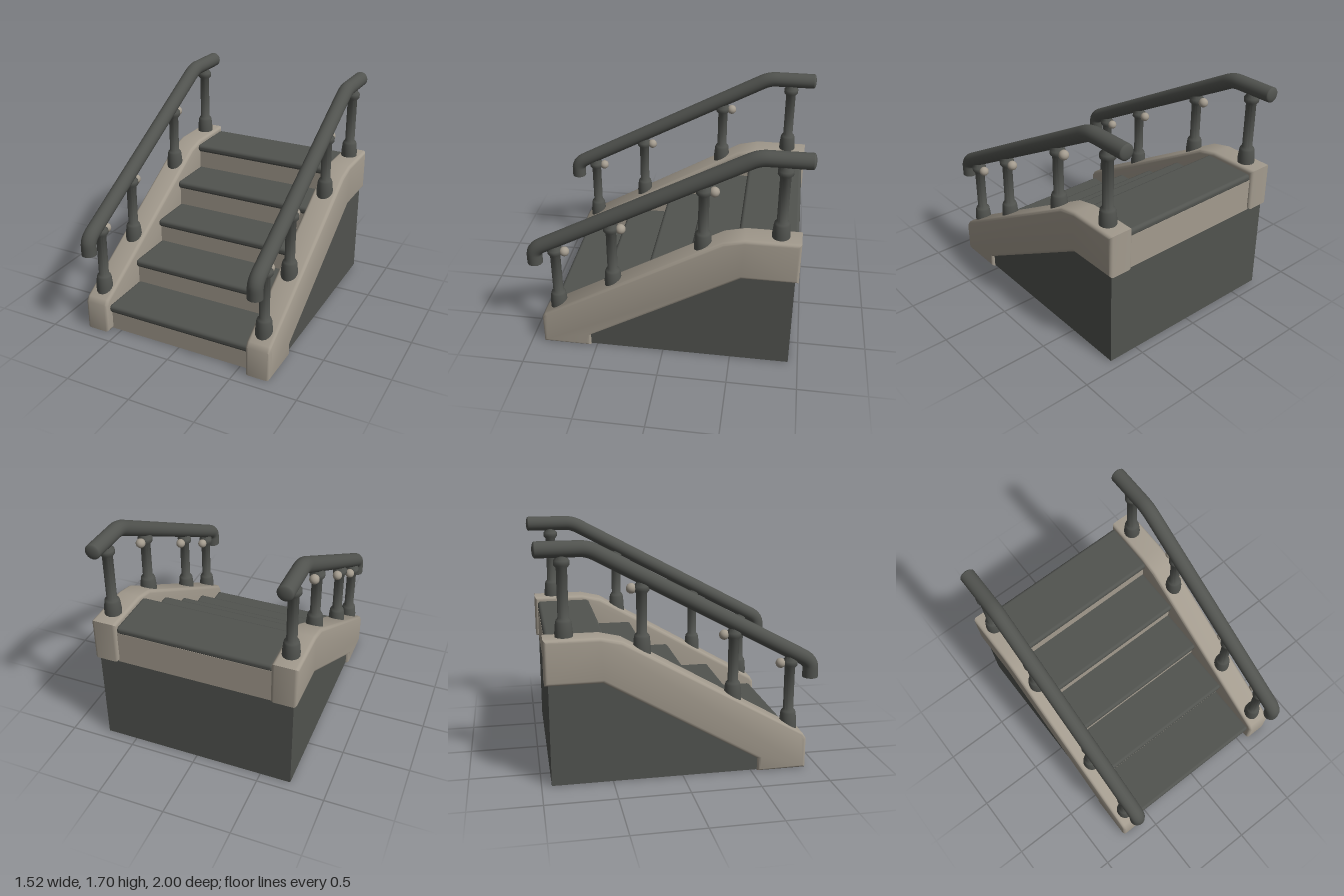
import * as THREE from 'three';
import { RoundedBoxGeometry } from 'three/addons/geometries/RoundedBoxGeometry.js';
import { toCreasedNormals } from 'three/addons/utils/BufferGeometryUtils.js';

const V = (z, y) => new THREE.Vector3(0, y, z);

// Extrude a side profile of [z, y] points across x, from xMin to xMax
function sideExtrude(points, xMin, xMax, bevel = 0) {
  const shape = new THREE.Shape(points.map(([z, y]) => new THREE.Vector2(z, y)));
  const geo = new THREE.ExtrudeGeometry(shape, {
    depth: xMax - xMin - 2 * bevel, bevelEnabled: bevel > 0,
    bevelSize: bevel, bevelThickness: bevel, bevelOffset: -bevel, bevelSegments: 4,
  });
  geo.rotateY(-Math.PI / 2);
  geo.translate(xMax - bevel, 0, 0);
  return toCreasedNormals(geo, 0.6);
}

export function createModel() {
  const stone = new THREE.MeshStandardMaterial({ color: 0xa39b8e });
  stone.name = 'warm stone';
  const dark = new THREE.MeshStandardMaterial({ color: 0x51534f });
  dark.name = 'dark grey';

  const model = new THREE.Group();
  model.name = 'staircase';
  const add = (parent, name, geo, mat, x = 0, y = 0, z = 0) => {
    const mesh = new THREE.Mesh(geo, mat);
    mesh.name = name;
    mesh.position.set(x, y, z);
    parent.add(mesh);
    return mesh;
  };

  // Treads and the risers beneath their nosings
  const noses = [0.87, 0.49, 0.14, -0.18, -0.52];
  const tops = [0.22, 0.42, 0.615, 0.825, 1.03];
  noses.forEach((nose, i) => {
    const back = i < 4 ? noses[i + 1] - 0.06 : -0.935;
    add(model, 'tread', new RoundedBoxGeometry(1.16, 0.06, nose - back, 3, 0.025), dark,
      0, tops[i] - 0.03, (nose + back) / 2);
    const low = i ? tops[i - 1] - 0.03 : 0.01;
    const high = tops[i] - 0.03;
    add(model, 'riser', new THREE.BoxGeometry(1.16, high - low, 0.03), stone,
      0, (low + high) / 2, nose - 0.045);
  });

  // Back wall and the band above it
  add(model, 'backPanel', new THREE.BoxGeometry(1.46, 0.74, 0.02), dark, 0, 0.38, -0.92);
  add(model, 'backBand', new THREE.BoxGeometry(1.16, 0.25, 0.04), stone, 0, 0.86, -0.915);

  // Side geometries shared by both sides (symmetric about RAIL_X where mirrored)
  const RAIL_X = 0.66;
  const stringerGeo = sideExtrude([
    [0.905, 0.005], [0.905, 0.23], [0.88, 0.27], [-0.42, 1.025], [-0.57, 1.06], [-0.955, 1.06],
    [-0.955, 0.74], [-0.56, 0.74], [0.545, 0.1], [0.545, 0.005],
  ], 0.57, 0.758, 0.025);
  const under = [[0.57, 0.01], [0.57, 0.13], [-0.54, 0.78], [-0.93, 0.78], [-0.93, 0.01]];
  const coreGeo = sideExtrude(under.map(([z, y]) => [Math.max(z, -0.91), y]), 0.575, 0.722);
  const panelGeo = sideExtrude(under, 0.722, 0.73);

  // Handrail path: rounded drop at the foot, long slope, level top
  const path = new THREE.CurvePath();
  path.add(new THREE.LineCurve3(V(0.945, 0.67), V(0.945, 0.74)));
  path.add(new THREE.QuadraticBezierCurve3(V(0.945, 0.74), V(0.945, 0.79), V(0.88, 0.825)));
  path.add(new THREE.LineCurve3(V(0.88, 0.825), V(-0.58, 1.618)));
  path.add(new THREE.QuadraticBezierCurve3(V(-0.58, 1.618), V(-0.635, 1.648), V(-0.69, 1.648)));
  path.add(new THREE.LineCurve3(V(-0.69, 1.648), V(-0.98, 1.648)));
  const railGeo = new THREE.TubeGeometry(path, 120, 0.056, 20, false);
  const footCap = new THREE.CircleGeometry(0.056, 20).rotateX(Math.PI / 2);
  const endCap = new THREE.SphereGeometry(0.056, 20, 12).scale(1, 1, 0.36);

  // Turned post: flared base, slim shaft and a collar under the rail
  const postGeo = (base, collar, top) => toCreasedNormals(new THREE.LatheGeometry([
    [0.062, base - 0.06], [0.062, base + 0.03], [0.055, base + 0.1], [0.05, base + 0.115],
    [0.037, base + 0.13], [0.037, collar - 0.035], [0.054, collar - 0.015],
    [0.054, collar + 0.015], [0.037, collar + 0.035], [0.037, top],
  ].map(([r, y]) => new THREE.Vector2(r, y)), 20), 0.8);
  const posts = [
    { z: 0.79, base: 0.31, collar: 0.785, top: 0.86, knob: true },
    { z: 0.37, base: 0.55, collar: 1.015, top: 1.09, knob: true },
    { z: -0.28, base: 0.93, collar: 1.37, top: 1.44, knob: true },
    { z: -0.81, base: 1.06, collar: 1.56, top: 1.62, knob: false },
  ];

  for (const s of [1, -1]) {
    const side = new THREE.Group();
    side.name = s > 0 ? 'leftSide' : 'rightSide';
    model.add(side);
    const shift = s > 0 ? 0 : -1;
    // Flat profiles are turned into place with a mirrored scale
    const flank = new THREE.Group();
    flank.name = 'flank';
    flank.scale.x = s;
    side.add(flank);
    add(flank, 'stringer', stringerGeo, stone);
    add(flank, 'innerWall', coreGeo, stone);
    add(flank, 'sidePanel', panelGeo, dark);

    const x = s * RAIL_X;
    add(side, 'handrail', railGeo, dark, x);
    add(side, 'handrailFootCap', footCap, dark, x, 0.67, 0.945);
    add(side, 'handrailEndCap', endCap, dark, x, 1.648, -0.98);

    for (const p of posts) {
      add(side, 'post', postGeo(p.base, p.collar, p.top), dark, x, 0, p.z);
      if (!p.knob) continue;
      // Short peg behind the post with a pale ball end
      const peg = new THREE.CylinderGeometry(0.026, 0.026, 0.07, 14).rotateX(Math.PI / 2);
      add(side, 'knobPeg', peg, dark, x, p.collar, p.z - 0.03);
      add(side, 'knob', new THREE.SphereGeometry(0.036, 16, 12), stone, x, p.collar, p.z - 0.07);
    }
  }
  return model;
}
